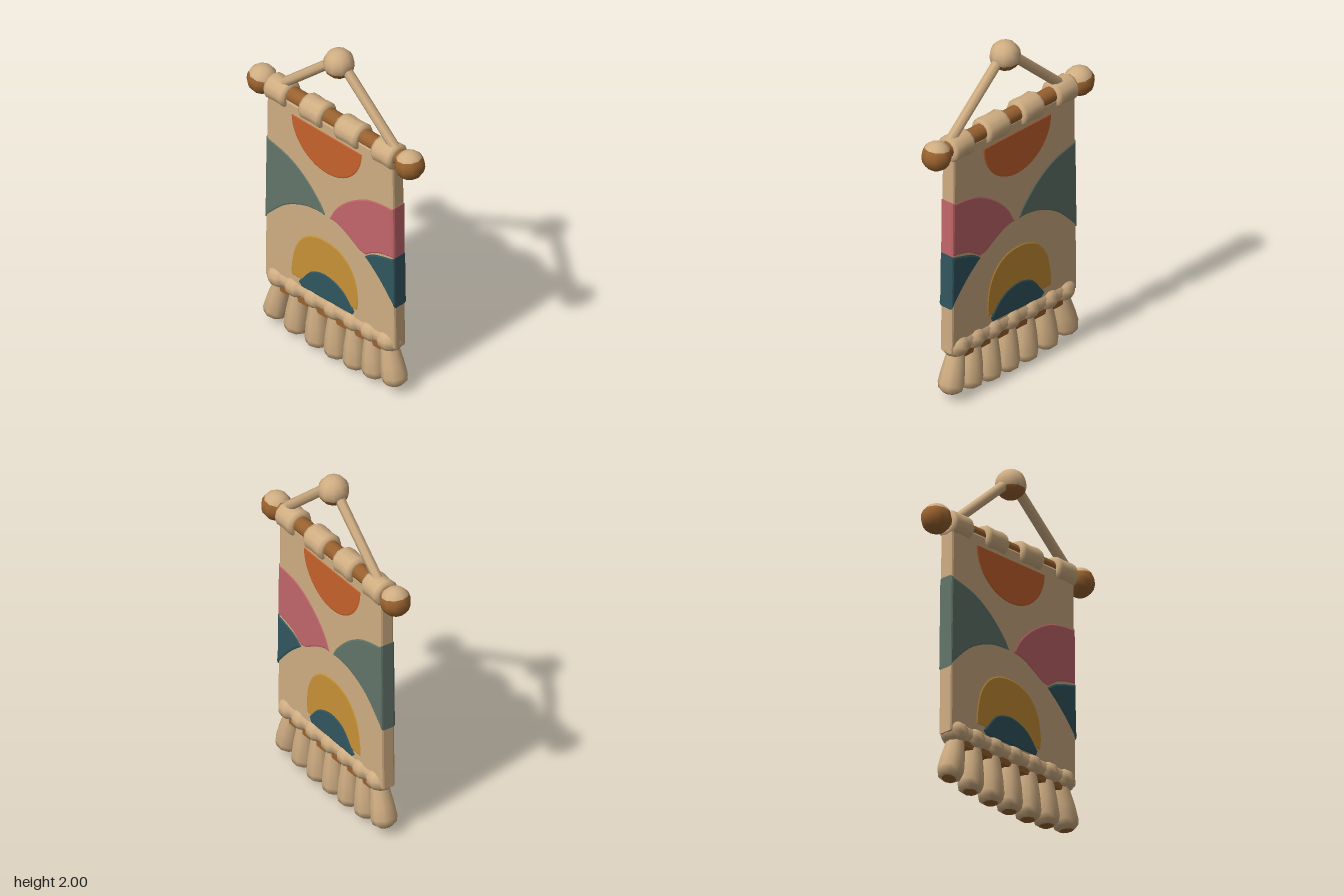
import * as THREE from 'three';

const mat = (name, color) => {
  const m = new THREE.MeshStandardMaterial({ color });
  m.name = name;
  return m;
};

export function createModel() {
  const group = new THREE.Group();
  const tan = mat('natural cotton', 0xcfad82);
  const brown = mat('wood brown', 0x99622f);
  const orange = mat('burnt orange', 0xc7622c);
  const green = mat('sage green', 0x62756a);
  const pink = mat('dusty pink', 0xc2666a);
  const navy = mat('deep teal', 0x31565f);
  const yellow = mat('ochre', 0xc89136);

  const add = (name, geometry, material, x = 0, y = 0, z = 0) => {
    const mesh = new THREE.Mesh(geometry, material);
    mesh.name = name;
    mesh.position.set(x, y, z);
    group.add(mesh);
    return mesh;
  };

  // Slab cut from an outline, centred on z = 0, with softened edges
  const slab = (name, points, half, material) => {
    const bevel = 0.014;
    const geometry = new THREE.ExtrudeGeometry(new THREE.Shape(points), {
      depth: 2 * (half - bevel), bevelThickness: bevel, bevelSize: bevel,
      bevelOffset: -bevel, bevelSegments: 2,
    });
    geometry.translate(0, 0, -(half - bevel));
    return add(name, geometry, material);
  };

  // Outline made of smooth curves joined by corners
  const outline = (...curves) => {
    const points = [];
    for (const c of curves) {
      const v = c.map(([x, y]) => new THREE.Vector2(x, y));
      const run = v.length > 2 ? new THREE.SplineCurve(v).getPoints(v.length * 4) : v;
      for (const p of run) {
        if (!points.length || points[points.length - 1].distanceTo(p) > 0.004) points.push(p);
      }
    }
    if (points[0].distanceTo(points[points.length - 1]) < 0.004) points.pop();
    return points;
  };

  // Cloth panel
  slab('clothPanel', outline([[-0.492, 0.3], [0.479, 0.3]], [[0.463, 1.52], [-0.476, 1.52]]), 0.043, tan);

  // Coloured shapes woven through the cloth, showing on both faces and the sides
  const halfSun = [];
  for (let i = 0; i <= 12; i++) {
    const a = Math.PI * (1 + i / 12);
    halfSun.push([-0.028 + 0.27 * Math.cos(a), 1.455 + 0.267 * Math.sin(a)]);
  }
  slab('orangeHalfSun', outline(halfSun), 0.046, orange);
  slab('greenHill', outline(
    [[-0.482, 1.21], [-0.31, 1.167], [-0.177, 1.087], [-0.07, 0.98], [-0.032, 0.918]],
    [[-0.032, 0.912], [-0.177, 0.897], [-0.336, 0.823], [-0.489, 0.675]]), 0.046, green);
  slab('pinkHill', outline(
    [[-0.01, 0.915], [0.035, 1.0], [0.124, 1.093], [0.246, 1.172], [0.352, 1.204], [0.471, 1.214]],
    [[0.474, 0.89], [0.352, 0.862], [0.262, 0.805]],
    [[0.21, 0.815], [0.124, 0.867], [0.05, 0.9], [-0.01, 0.908]]), 0.046, pink);
  slab('tealHill', outline(
    [[0.25, 0.8], [0.325, 0.85], [0.475, 0.892]],
    [[0.479, 0.57], [0.389, 0.675], [0.325, 0.738], [0.25, 0.8]]), 0.047, navy);
  slab('ochreArch', outline(
    [[-0.295, 0.4], [-0.295, 0.47], [-0.267, 0.6], [-0.204, 0.695], [-0.124, 0.743], [-0.034, 0.757],
      [0.06, 0.743], [0.14, 0.69], [0.193, 0.6], [0.212, 0.484], [0.204, 0.41]]), 0.046, yellow);
  slab('tealHalfSun', outline(
    [[-0.24, 0.385], [-0.177, 0.47], [-0.124, 0.515], [-0.034, 0.537], [0.06, 0.516], [0.124, 0.473],
      [0.182, 0.4]], [[0.167, 0.368], [-0.215, 0.36]]), 0.049, navy);

  // Rod
  const rod = new THREE.CylinderGeometry(0.046, 0.046, 1.1, 10);
  rod.rotateZ(Math.PI / 2);
  add('rod', rod, brown, 0, 1.532, -0.003);

  // Balls: cotton-coloured upper part over a brown lower part
  const ball = (name, x, y, r, split, tilt) => {
    const top = add(name + 'Top', new THREE.SphereGeometry(r, 10, 6, 0, Math.PI * 2, 0, split), tan, x, y);
    const base = add(name + 'Base',
      new THREE.SphereGeometry(r, 10, 6, 0, Math.PI * 2, split, Math.PI - split), brown, x, y);
    top.rotation.z = base.rotation.z = tilt;
  };
  ball('rightKnob', -0.553, 1.524, 0.084, 1.12, -0.15);
  ball('leftKnob', 0.55, 1.524, 0.083, 1.0, 0.12);
  ball('hangingBall', 0.02, 1.917, 0.085, 1.95, 0);

  // Cloth loops around the rod
  const loopProfile = (w) => [[0.046, -w], [0.066, -w], [0.077, -w * 0.75], [0.073, 0], [0.077, w * 0.75],
    [0.066, w], [0.046, w]].map(([r, h]) => new THREE.Vector2(r, h));
  for (const [x, w] of [[-0.405, 0.075], [-0.14, 0.079], [0.127, 0.083], [0.395, 0.074]]) {
    const loop = new THREE.LatheGeometry(loopProfile(w), 12);
    loop.rotateZ(Math.PI / 2);
    add('rodLoop', loop, tan, x, 1.525);
  }

  // Hanging cords
  for (const [x0, x1] of [[-0.395, -0.02], [0.445, 0.07]]) {
    const a = new THREE.Vector3(x0, 1.575, 0);
    const b = new THREE.Vector3(x1, 1.905, 0);
    add('hangingCord', new THREE.TubeGeometry(new THREE.LineCurve3(a, b), 1, 0.029, 7), tan);
  }

  // Hem: padded roll with a knot above each tassel, and a dark strip beneath
  const roll = new THREE.CapsuleGeometry(0.058, 0.83, 4, 10);
  roll.rotateZ(Math.PI / 2);
  add('hemRoll', roll, tan, -0.006, 0.325);
  add('hemUnderside', new THREE.BoxGeometry(0.84, 0.035, 0.08), brown, 0, 0.262);

  // Tassels: x at the top, x at the bottom, height of the lower end
  const tasselProfile = (h) => [[0, 0], [0.042, 0.003], [0.066, 0.022], [0.073, 0.055], [0.066, h * 0.5],
    [0.052, h * 0.85], [0.044, h]].map(([r, y]) => new THREE.Vector2(r, y));
  const tassels = [[-0.4, -0.457, 0.038], [-0.275, -0.295, 0.014], [-0.135, -0.135, 0.004], [0.008, 0.008, 0.002],
    [0.148, 0.15, 0.004], [0.275, 0.295, 0.018], [0.393, 0.448, 0.042]];
  for (const [xt, xb, y] of tassels) {
    const knot = add('hemKnot', new THREE.SphereGeometry(0.078, 10, 7), tan,
      THREE.MathUtils.clamp(xt * 1.03, -0.415, 0.405), 0.318);
    knot.scale.set(1, 0.87, 1);
    const h = 0.295 - y;
    const tilt = Math.atan2(xb - xt, h);
    const tassel = add('tassel', new THREE.LatheGeometry(tasselProfile(h), 9), tan, xb, y);
    const end = add('tasselEnd', new THREE.CylinderGeometry(0.04, 0.034, 0.004, 9), brown, xb, y + 0.001);
    tassel.rotation.z = end.rotation.z = tilt;
  }
  return group;
}
